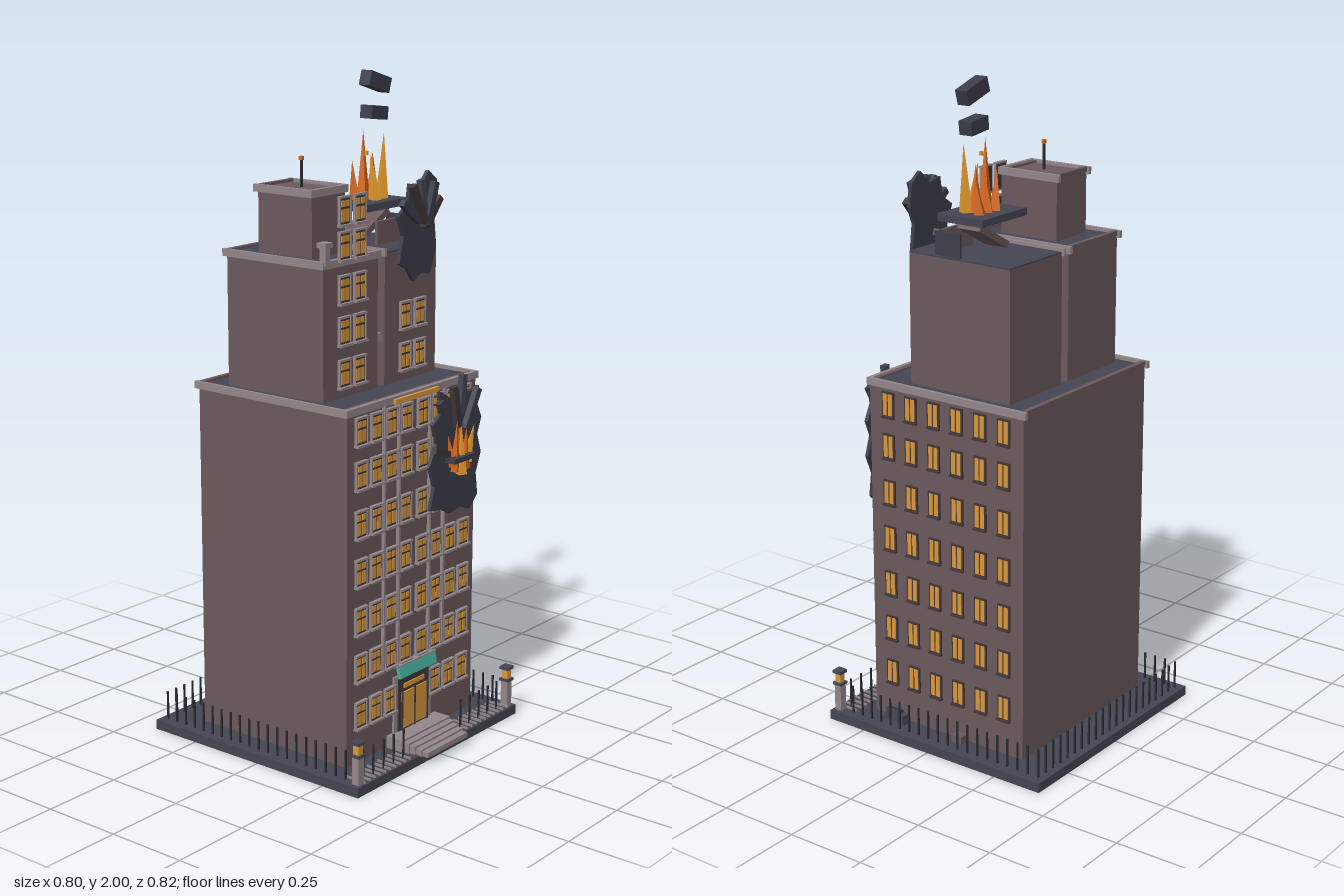
import * as THREE from 'three';

const mat = (name, color) => {
  const m = new THREE.MeshStandardMaterial({ color, flatShading: true });
  m.name = name;
  return m;
};

export function createModel() {
  const wall = mat('brownWall', 0x6b595d), stone = mat('paleStone', 0x93878a);
  const slate = mat('slate', 0x464653), char = mat('charredRubble', 0x3c3d49);
  const iron = mat('iron', 0x2a2a33), frame = mat('darkFrame', 0x42373a);
  const glow = mat('windowGlow', 0xd9983c), fire = mat('fire', 0xd9691c);
  const ember = mat('brightFlame', 0xe59a2c), teal = mat('tealCanopy', 0x45b09c);

  const model = new THREE.Group();
  const group = (name, parent = model) => {
    const g = new THREE.Group();
    g.name = name;
    parent.add(g);
    return g;
  };
  const add = (parent, name, geo, m, x, y, z, rx = 0, ry = 0, rz = 0) => {
    const o = new THREE.Mesh(geo, m);
    o.name = name;
    o.position.set(x, y, z);
    o.rotation.set(rx, ry, rz);
    parent.add(o);
    return o;
  };
  // Box centred on a point, with optional rotation
  const box = (p, name, m, w, h, d, x, y, z, ...r) =>
    add(p, name, new THREE.BoxGeometry(w, h, d), m, x, y, z, ...r);
  // Box given by its limits
  const span = (p, name, m, x0, x1, y0, y1, z0, z1) =>
    box(p, name, m, x1 - x0, y1 - y0, z1 - z0, (x0 + x1) / 2, (y0 + y1) / 2, (z0 + z1) / 2);

  // Plinth
  span(model, 'base', slate, -0.4, 0.4, 0, 0.03, -0.413, 0.383);

  // Wall block with roof slab, back parapet and stone cornice on three sides
  const block = (name, x0, x1, y0, y1, z0, z1, roof) => {
    const g = group(name);
    span(g, 'walls', wall, x0, x1, y0, y1 - 0.005, z0, z1);
    span(g, 'roof', roof, x0 + 0.012, x1 - 0.012, y1 - 0.005, y1 + 0.002, z0 + 0.012, z1 - 0.012);
    span(g, 'backParapet', wall, x0, x1, y1 - 0.005, y1 + 0.01, z0 - 0.005, z0 + 0.01);
    span(g, 'frontParapet', wall, x0, x1, y1 - 0.005, y1 + 0.008, z1 - 0.022, z1 - 0.008);
    span(g, 'frontCornice', stone, x0 - 0.008, x1 + 0.008, y1 - 0.012, y1 + 0.01, z1 - 0.008, z1 + 0.006);
    for (const [a, b] of [[x0 - 0.008, x0 + 0.004], [x1 - 0.004, x1 + 0.008]])
      span(g, 'sideCornice', stone, a, b, y1 - 0.012, y1 + 0.01, z0 - 0.012, z1 + 0.006);
    return g;
  };
  block('mainBlock', -0.31, 0.31, 0.03, 1.1, -0.29, 0.27, slate);
  block('leftTower', -0.268, -0.018, 1.1, 1.5, -0.21, 0.15, slate);
  block('upperLeftTower', -0.22, -0.07, 1.5, 1.69, -0.13, 0.07, wall);

  // Damaged right tower keeps only its inner cornice
  const ruin = group('rightTower');
  span(ruin, 'walls', wall, 0.015, 0.265, 1.1, 1.495, -0.21, 0.15);
  span(ruin, 'roof', slate, 0.015, 0.265, 1.495, 1.5, -0.21, 0.15);
  span(ruin, 'innerCornice', stone, 0.009, 0.018, 1.488, 1.51, -0.22, 0.155);
  span(ruin, 'brokenSideWall', char, 0.252, 0.26, 1.5, 1.57, -0.03, 0.06);
  span(ruin, 'brokenFrontWall', wall, 0.095, 0.255, 1.5, 1.57, 0.05, 0.06);
  box(ruin, 'fallenWall', wall, 0.15, 0.02, 0.08, 0.15, 1.55, -0.03, 0, 0, 0.5);
  span(ruin, 'liftedRoof', slate, 0.05, 0.26, 1.6, 1.622, -0.11, 0.05);

  // Bridge, finial and mast
  span(model, 'towerBridge', stone, -0.012, 0.07, 1.23, 1.26, 0.11, 0.14);
  span(model, 'cornerFinial', stone, -0.27, -0.25, 1.5, 1.55, 0.14, 0.16);
  span(model, 'finialCap', stone, -0.277, -0.245, 1.55, 1.565, 0.135, 0.167);
  span(model, 'mast', iron, -0.148, -0.142, 1.69, 1.77, -0.033, -0.027);
  box(model, 'beacon', fire, 0.011, 0.011, 0.011, -0.145, 1.775, -0.03);

  // Front window: surround, glowing panes, glazing bars, lintel and sill
  const frontWindow = (p, x, y, z) => {
    const w = group('frontWindow', p);
    w.position.set(x, y, z);
    box(w, 'surround', frame, 0.05, 0.078, 0.006, 0, 0, 0.003);
    for (const s of [-1, 1]) {
      box(w, 'pane', glow, 0.016, 0.036, 0.004, s * 0.0105, -0.013, 0.006);
      box(w, 'upperPane', glow, 0.016, 0.018, 0.004, s * 0.0105, 0.021, 0.006);
      box(w, 'jamb', stone, 0.004, 0.078, 0.009, s * 0.0245, 0, 0.005);
    }
    box(w, 'lintel', stone, 0.054, 0.006, 0.012, 0, 0.04, 0.006);
    box(w, 'sill', stone, 0.056, 0.007, 0.016, 0, -0.041, 0.008);
  };
  const rows = [0.18, 0.326, 0.471, 0.617, 0.763, 0.908, 1.038];
  const cols = [-0.25, -0.18, -0.11, -0.04, 0.04, 0.11, 0.18, 0.25];
  const facade = group('frontWindows');
  for (const y of rows) for (const x of cols)
    if (!(y < 0.3 && Math.abs(x) < 0.1)) frontWindow(facade, x, y, 0.27);
  for (const y of [1.175, 1.3, 1.42, 1.545, 1.645]) for (const x of [-0.18, -0.11]) {
    frontWindow(facade, x, y, 0.152);
    if (y < 1.35) frontWindow(facade, -x, y, 0.15);
  }

  // Narrow windows on the left-hand (+x) side wall
  const side = group('sideWindows');
  for (const y of rows) for (let i = 0; i < 6; i++) {
    const z = 0.2 - i * 0.0845;
    box(side, 'surround', frame, 0.006, 0.078, 0.044, 0.312, y, z);
    for (const s of [-1, 1]) box(side, 'pane', glow, 0.006, 0.066, 0.014, 0.314, y, z + s * 0.0095);
    box(side, 'sill', frame, 0.012, 0.005, 0.046, 0.315, y - 0.04, z);
  }

  // Facade pilasters and floor band
  for (const x of [-0.145, -0.075, 0.075, 0.145])
    span(model, 'pilaster', stone, x - 0.004, x + 0.004, 0.29, 1.09, 0.27, 0.28);
  span(model, 'glowingSignStrip', glow, -0.105, 0.105, 1.088, 1.103, 0.272, 0.286);

  // Entrance
  const door = group('entrance');
  span(door, 'surround', stone, -0.092, 0.092, 0.03, 0.245, 0.268, 0.277);
  span(door, 'recess', frame, -0.075, 0.075, 0.05, 0.235, 0.275, 0.28);
  span(door, 'doorGlow', glow, -0.062, 0.062, 0.075, 0.19, 0.278, 0.284);
  span(door, 'transom', glow, -0.05, 0.05, 0.202, 0.216, 0.278, 0.284);
  for (const x of [-0.062, 0, 0.062])
    span(door, 'doorBar', frame, x - 0.002, x + 0.002, 0.07, 0.195, 0.282, 0.287);
  box(door, 'canopy', teal, 0.18, 0.034, 0.012, 0, 0.262, 0.291, -0.2);
  span(door, 'canopyTrim', stone, -0.095, 0.095, 0.278, 0.284, 0.27, 0.292);
  for (let i = 0; i < 5; i++) {
    const w = 0.12 - i * 0.005;
    span(door, 'step', stone, -w, w, 0.028, 0.068 - i * 0.006, 0.27, 0.33 + i * 0.02);
  }

  // Railings: upright pickets on three sides, low bars along the front
  const fence = group('fence');
  const picket = (x, z) => span(fence, 'picket', iron, x - 0.0025, x + 0.0025, 0.03, 0.12, z - 0.0025, z + 0.0025);
  for (let i = 0; i < 21; i++) picket(-0.37 + i * 0.037, -0.39);
  for (let i = 0; i < 19; i++) for (const s of [-1, 1]) picket(s * 0.37, -0.352 + i * 0.037);
  for (let i = 0; i < 31; i++) {
    const x = -0.36 + i * 0.024;
    if (Math.abs(x) > 0.125) {
      span(fence, 'lowBar', stone, x - 0.0015, x + 0.0015, 0.03, 0.037, 0.31, 0.38);
      if (i % 2) picket(x, 0.352);
    }
  }

  // Gate lamps
  for (const s of [-1, 1]) {
    const lamp = group('gateLamp');
    lamp.position.set(s * 0.374, 0.03, 0.363);
    box(lamp, 'pillar', stone, 0.024, 0.085, 0.024, 0, 0.0425, 0);
    box(lamp, 'pillarCap', slate, 0.032, 0.008, 0.032, 0, 0.089, 0);
    box(lamp, 'lantern', glow, 0.02, 0.03, 0.02, 0, 0.108, 0);
    box(lamp, 'lanternCap', slate, 0.031, 0.01, 0.031, 0, 0.128, 0);
  }

  // Jagged blast scars on both facades
  const scar = (name, pts, z) => {
    const s = new THREE.Shape(pts.map(([x, y]) => new THREE.Vector2(x, y)));
    add(model, name, new THREE.ExtrudeGeometry(s, { depth: 0.012, bevelEnabled: false }), char, 0, 0, z);
  };
  scar('lowerScar', [[0.06, 0.73], [0.12, 0.72], [0.16, 0.7], [0.21, 0.71], [0.26, 0.69], [0.3, 0.73],
    [0.29, 0.8], [0.315, 0.86], [0.295, 0.92], [0.315, 0.97], [0.29, 1.02], [0.3, 1.07], [0.25, 1.06],
    [0.21, 1.09], [0.17, 1.05], [0.1, 1.09], [0.11, 1.02], [0.07, 0.99], [0.09, 0.93], [0.055, 0.87], [0.08, 0.8]], 0.279);
  scar('upperScar', [[0.06, 1.46], [0.1, 1.44], [0.13, 1.4], [0.17, 1.42], [0.21, 1.41], [0.24, 1.49],
    [0.23, 1.57], [0.25, 1.62], [0.24, 1.69], [0.2, 1.72], [0.16, 1.68], [0.11, 1.69], [0.1, 1.63],
    [0.055, 1.6], [0.08, 1.54]], 0.157);

  // Broken beams fanned around each scar: x, y, length, tilt
  const beams = (name, list, z) => list.forEach(([x, y, l, t], i) =>
    box(model, name, [char, frame, slate][i % 3], 0.022, l, 0.018, x, y, z + (i % 2) * 0.008, 0, 0, t));
  beams('lowerBeam', [[0.13, 1.0, 0.13, 0.5], [0.17, 1.03, 0.13, 0.2], [0.21, 1.06, 0.12, -0.1],
    [0.25, 1.01, 0.13, -0.5], [0.11, 0.9, 0.08, 1.2]], 0.292);
  beams('upperBeam', [[0.1, 1.61, 0.1, 0.9], [0.13, 1.63, 0.13, 0.5], [0.16, 1.63, 0.14, 0.15],
    [0.19, 1.63, 0.12, -0.3], [0.21, 1.6, 0.1, -0.7]], 0.178);
  span(model, 'scarLedge', char, 0.13, 0.24, 0.865, 0.88, 0.29, 0.328);
  box(model, 'looseBrick', wall, 0.035, 0.02, 0.02, 0.237, 1.56, 0.06, 0, 0, 0.3);

  // Flames: clusters of leaning four-sided cones
  const flames = (name, list, z, depth, r) => {
    const g = group(name);
    list.forEach(([x, y, h, lean], i) => add(g, 'flame', new THREE.ConeGeometry(r, h, 4),
      i % 3 === 2 ? ember : fire, x, y + h / 2, z + depth * ((i % 3) - 1), 0, i, lean));
  };
  flames('roofFire', [[0.125, 1.61, 0.13, 0.1], [0.14, 1.61, 0.22, 0], [0.155, 1.61, 0.15, -0.1],
    [0.17, 1.61, 0.13, 0.1], [0.185, 1.61, 0.15, 0], [0.203, 1.61, 0.21, -0.03], [0.21, 1.61, 0.12, -0.15]], -0.03, 0.025, 0.022);
  flames('facadeFire', [[0.15, 0.85, 0.1, 0.25], [0.17, 0.83, 0.16, 0.1], [0.19, 0.82, 0.15, 0],
    [0.2, 0.84, 0.18, -0.03], [0.22, 0.83, 0.13, -0.1], [0.235, 0.85, 0.12, -0.2]], 0.302, 0.006, 0.018);
  box(model, 'spark', ember, 0.009, 0.012, 0.009, 0.09, 1.77, 0.022);

  // Flying and fallen rubble
  box(model, 'flyingBlock', char, 0.1, 0.045, 0.04, 0.195, 1.968, -0.028, 0, 0, -0.3);
  box(model, 'flyingBlock', char, 0.078, 0.04, 0.045, 0.208, 1.875, -0.042, 0, 0, -0.12);
  box(model, 'fallenBlock', wall, 0.03, 0.025, 0.036, 0.335, 0.045, -0.073);
  box(model, 'fallenBlock', char, 0.026, 0.035, 0.05, 0.334, 0.05, 0.18, 0, 0, 0.3);
  box(model, 'fallenBlock', slate, 0.03, 0.03, 0.02, 0.335, 0.045, 0.142);
  return model;
}
